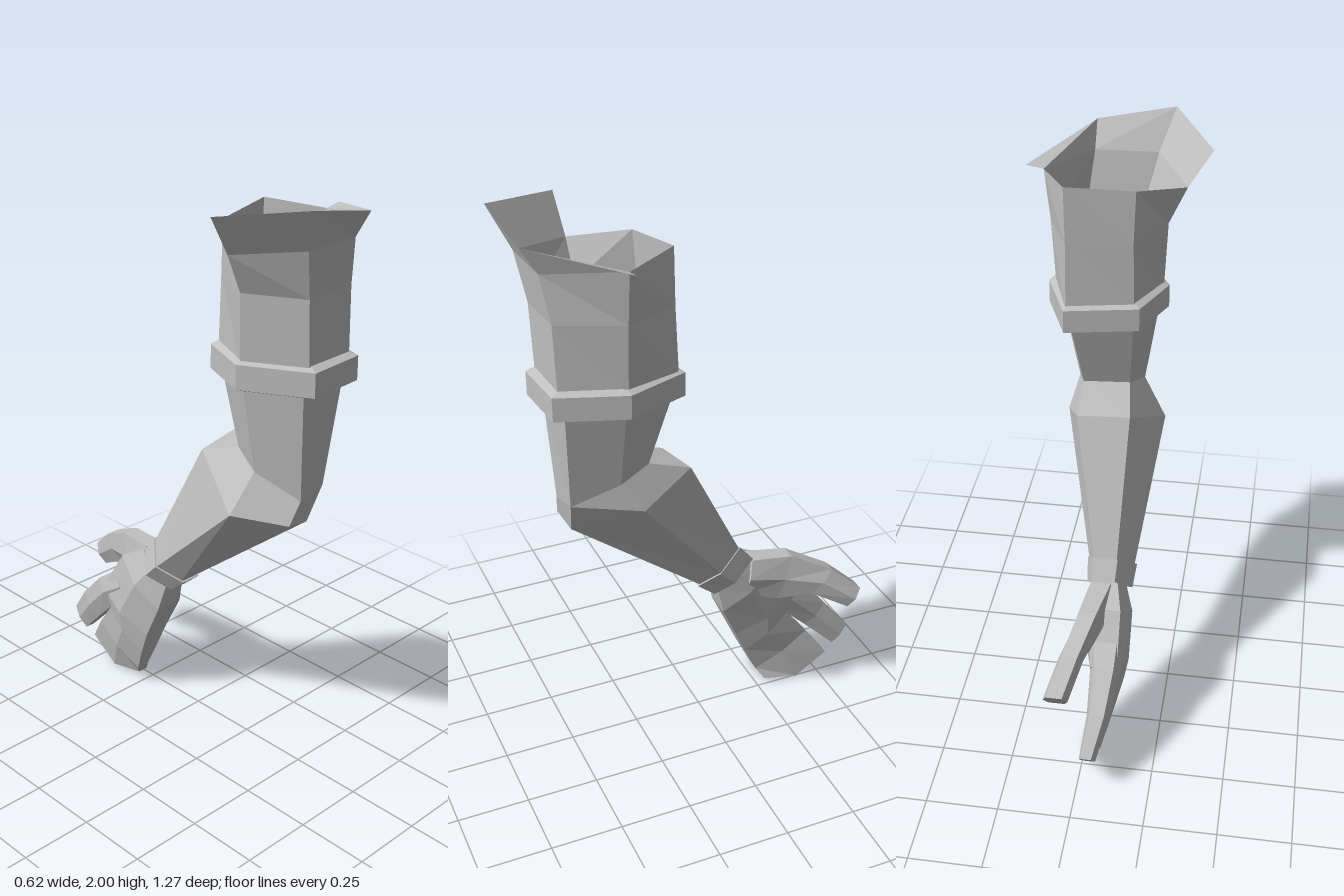
import * as THREE from 'three';

const grey = new THREE.MeshStandardMaterial({ color: 0xc0c0c0, flatShading: true, side: THREE.DoubleSide });
grey.name = 'plain grey';

// Skins a list of equal-length cross-sections, each an array of [x, y, z].
function loft(name, rings, { closed = true, capStart = false, capEnd = false } = {}) {
  const n = rings[0].length;
  const index = [];
  for (let r = 0; r < rings.length - 1; r++) {
    for (let i = 0; i < (closed ? n : n - 1); i++) {
      const j = (i + 1) % n;
      const a = r * n + i, b = r * n + j, c = a + n, d = b + n;
      index.push(a, c, d, a, d, b);
    }
  }
  const last = (rings.length - 1) * n;
  for (let i = 1; i < n - 1; i++) {
    if (capStart) index.push(0, i, i + 1);
    if (capEnd) index.push(last, last + i + 1, last + i);
  }
  const indexed = new THREE.BufferGeometry();
  indexed.setAttribute('position', new THREE.Float32BufferAttribute(rings.flat(2), 3));
  indexed.setIndex(index);
  const geometry = indexed.toNonIndexed();
  geometry.computeVertexNormals();
  const mesh = new THREE.Mesh(geometry, grey);
  mesh.name = name;
  return mesh;
}

// Copies a ring, scaled about its own centre and shifted.
function resize(ring, s, dy = 0, dz = 0) {
  const c = [0, 1, 2].map(k => ring.reduce((sum, p) => sum + p[k], 0) / ring.length);
  return ring.map(p => [
    c[0] + (p[0] - c[0]) * s,
    c[1] + (p[1] - c[1]) * s + dy,
    c[2] + (p[2] - c[2]) * s + dz,
  ]);
}

// Level six-sided ring from [x, z] pairs.
const level = (y, points) => points.map(([x, z]) => [x, y, z]);

// Six-sided hand section between a lower edge A and an upper edge B; the middle is widest.
function section([zA, yA, zB, yB, xl, xr, drop = 0]) {
  const m = (xl + xr) / 2, h = (xr - xl) * 0.32;
  const zM = (zA + zB) / 2, yM = (yA + yB) / 2 - drop;
  return [
    [m - h, yA, zA], [m + h, yA, zA], [xr, yM, zM],
    [m + h, yB, zB], [m - h, yB, zB], [xl, yM, zM],
  ];
}

export function createModel() {
  const model = new THREE.Group();
  model.name = 'arm';

  // Ring order: front left, front right, right, back right, back left, left on screen.
  const sleeveTop = [
    [-0.11, 1.86, 0.57], [0.11, 1.86, 0.56], [0.245, 1.88, 0.325],
    [0.15, 1.9, 0.145], [-0.08, 1.88, 0.19], [-0.23, 1.83, 0.36],
  ];
  const sleeveMiddle = level(1.7, [[-0.07, 0.545], [0.13, 0.535], [0.225, 0.325], [0.145, 0.14], [-0.075, 0.18], [-0.17, 0.355]]);
  const sleeveHem = level(1.46, [[-0.055, 0.54], [0.14, 0.53], [0.21, 0.325], [0.145, 0.13], [-0.08, 0.175], [-0.16, 0.35]]);
  const underBand = level(1.38, [[-0.055, 0.52], [0.135, 0.51], [0.185, 0.325], [0.13, 0.15], [-0.075, 0.19], [-0.145, 0.35]]);
  const elbowUpper = [
    [-0.03, 1.01, 0.5], [0.085, 1.03, 0.49], [0.13, 1.1, 0.33],
    [0.1, 1.14, 0.22], [-0.06, 1.13, 0.25], [-0.1, 1.09, 0.36],
  ];
  const elbowLower = [
    [-0.07, 0.93, 0.49], [0.03, 0.91, 0.475], [0.16, 1.0, 0.26],
    [0.1, 1.09, 0.07], [-0.08, 1.08, 0.1], [-0.18, 0.95, 0.33],
  ];
  const cuffRing = [
    [-0.075, 0.53, 0], [0, 0.53, 0], [0.042, 0.59, -0.07],
    [0.01, 0.66, -0.16], [-0.075, 0.65, -0.15], [-0.135, 0.585, -0.08],
  ];

  // Arm
  model.add(loft('sleeve', [sleeveTop, sleeveMiddle, sleeveHem, underBand]));
  model.add(loft('upperArm', [underBand, elbowUpper, elbowLower]));
  model.add(loft('forearm', [elbowLower, resize(cuffRing, 0.9, -0.01, -0.01)]));

  // Flared collar, open at the back
  const flare = [[-0.31, 1.96, 0.37], [-0.16, 2, 0.635], [0.11, 1.95, 0.615], [0.305, 1.89, 0.325]];
  model.add(loft('collar', [flare, [5, 0, 1, 2].map(i => sleeveTop[i])], { closed: false }));

  // Band around the upper arm
  const bandRing = (y, s) => resize(level(y, [[-0.06, 0.57], [0.155, 0.555], [0.235, 0.325], [0.15, 0.11], [-0.1, 0.16], [-0.18, 0.35]]), s);
  model.add(loft('armBand', [bandRing(1.485, 0.86), bandRing(1.472, 1), bandRing(1.39, 1), bandRing(1.378, 0.86)]));

  // Wrist cuff
  model.add(loft('wristCuff', [
    resize(cuffRing, 0.85), cuffRing,
    resize(cuffRing, 0.92, -0.06, -0.06), resize(cuffRing, 0.75, -0.06, -0.06),
  ]));

  // Hand: rows of [zA, yA, zB, yB, xLeft, xRight, middle drop]
  const caps = { capStart: true, capEnd: true };
  model.add(loft('palmAndFingers', [
    [-0.08, 0.49, -0.2, 0.59, -0.105, 0.02],
    [-0.1, 0.39, -0.29, 0.54, -0.135, 0.03],
    [-0.16, 0.26, -0.4, 0.37, -0.135, 0.01],
    [-0.2, 0.17, -0.37, 0.29, -0.12, 0],
    [-0.25, 0.065, -0.46, 0.18, -0.09, -0.012],
    [-0.28, 0.02, -0.54, 0.07, -0.055, 0.005, 0.045],
  ].map(section), caps));
  model.add(loft('indexFinger', [
    [-0.25, 0.37, -0.33, 0.46, -0.125, 0],
    [-0.35, 0.31, -0.43, 0.39, -0.12, -0.015],
    [-0.46, 0.205, -0.54, 0.28, -0.1, -0.02],
    [-0.575, 0.095, -0.635, 0.165, -0.065, -0.008],
  ].map(section), caps));
  model.add(loft('thumb', [
    [-0.18, 0.45, -0.21, 0.59, -0.08, 0.03],
    [-0.3, 0.41, -0.36, 0.58, -0.05, 0.045],
    [-0.43, 0.42, -0.51, 0.505, -0.005, 0.08],
    [-0.565, 0.345, -0.615, 0.415, 0.03, 0.115],
  ].map(section), caps));

  return model;
}
